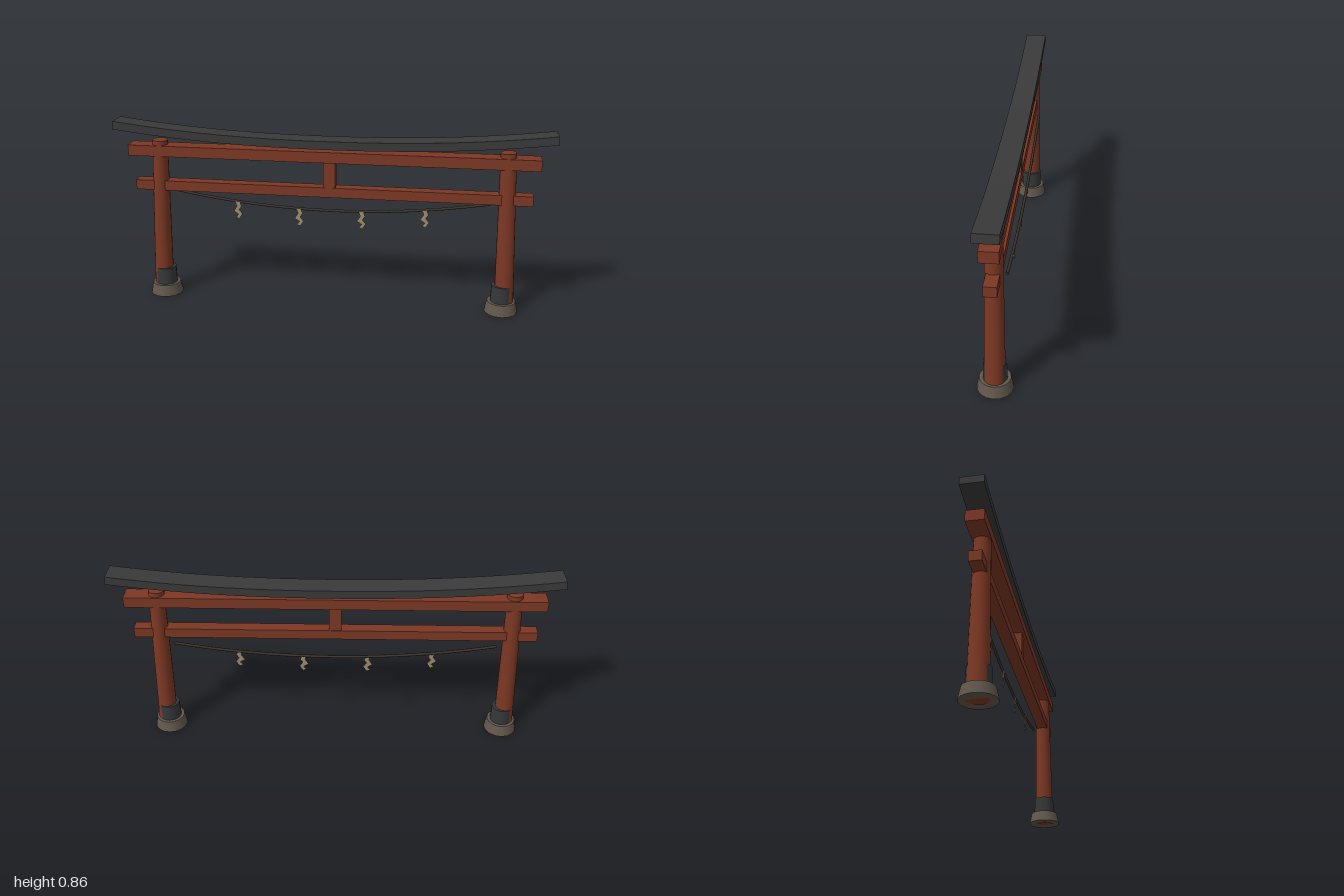
import * as THREE from 'three';

const mat = (name, color, side = THREE.FrontSide) => {
  const m = new THREE.MeshStandardMaterial({ color, side });
  m.name = name;
  return m;
};

export function createModel() {
  const red = mat('vermilion wood', 0x7d3824);
  const black = mat('black lacquer', 0x3a3a3a);
  const stone = mat('stone', 0x62574c);
  const iron = mat('dark iron', 0x35383a);
  const straw = mat('dark rope', 0x3d332b);
  const paper = mat('paper', 0xa08d70, THREE.DoubleSide);

  const gate = new THREE.Group();
  gate.name = 'gate';
  const add = (name, geometry, material, x = 0, y = 0, z = 0) => {
    const mesh = new THREE.Mesh(geometry, material);
    mesh.name = name;
    mesh.position.set(x, y, z);
    gate.add(mesh);
    return mesh;
  };

  // Leaning pillars, each with a stone foot and an upright iron collar
  for (const [side, s] of [['left', 1], ['right', -1]]) {
    const x = s * 0.805;
    const pillar = add(side + 'Pillar', new THREE.CylinderGeometry(0.035, 0.045, 0.766, 20), red, x, 0.3845);
    pillar.rotation.z = s * 0.035;
    add(side + 'Foot', new THREE.CylinderGeometry(0.066, 0.077, 0.053, 16), stone, x, 0.0285);
    add(side + 'Collar', new THREE.CylinderGeometry(0.049, 0.051, 0.08, 20), iron, x, 0.095);
  }

  // Straight tie beams and the short strut between them
  add('upperBeam', new THREE.BoxGeometry(1.87, 0.05, 0.078), red, 0, 0.721);
  add('lowerBeam', new THREE.BoxGeometry(1.824, 0.046, 0.054), red, 0, 0.553);
  add('centreStrut', new THREE.BoxGeometry(0.056, 0.12, 0.05), red, 0, 0.636);

  // Curved top beam: a box bent upward, its sections square to the curve
  const lintel = new THREE.BoxGeometry(1.99, 0.038, 0.1, 24, 1, 1).toNonIndexed();
  const p = lintel.attributes.position;
  for (let i = 0; i < p.count; i++) {
    const x = p.getX(i), h = p.getY(i), t = Math.abs(x);
    const angle = Math.atan(Math.sign(x) * 0.06 * 2.2 * t ** 1.2);
    p.setXY(i, x - h * Math.sin(angle), 0.78 + 0.06 * t ** 2.2 + h * Math.cos(angle));
  }
  // Sections lean inward at the top, so stretch the ends to full length
  lintel.computeBoundingBox();
  lintel.scale(1 / lintel.boundingBox.max.x, 1, 1);
  lintel.computeVertexNormals();
  add('topBeam', lintel, black);

  // Sagging rope behind the pillars
  const ropeY = x => 0.443 + 0.067 * (x / 0.73) ** 2;
  const points = [];
  for (let i = 0; i <= 12; i++) {
    const x = -0.73 + (1.46 * i) / 12;
    points.push(new THREE.Vector3(x, ropeY(x), -0.042));
  }
  add('rope', new THREE.TubeGeometry(new THREE.CatmullRomCurve3(points), 40, 0.0065, 8), straw);
  for (const s of [-1, 1]) {
    const cap = add('ropeEnd', new THREE.CircleGeometry(0.0065, 8), straw, s * 0.73, ropeY(0.73), -0.042);
    cap.rotation.y = s * Math.PI / 2;
  }

  // Folded paper streamers hanging from the rope
  const zigzag = new THREE.Shape([
    [-0.012, 0], [0.01, 0], [0.018, -0.022], [0.006, -0.04], [0.022, -0.06],
    [0.006, -0.085], [-0.01, -0.078], [0.003, -0.062], [-0.02, -0.048], [-0.004, -0.022],
  ].map(([x, y]) => new THREE.Vector2(x, y)));
  const streamer = new THREE.ExtrudeGeometry(zigzag, { depth: 0.004, bevelEnabled: false });
  for (const x of [-0.44, -0.147, 0.147, 0.44]) {
    add('streamer', streamer, paper, x - 0.005, ropeY(x), -0.04);
  }
  return gate;
}
